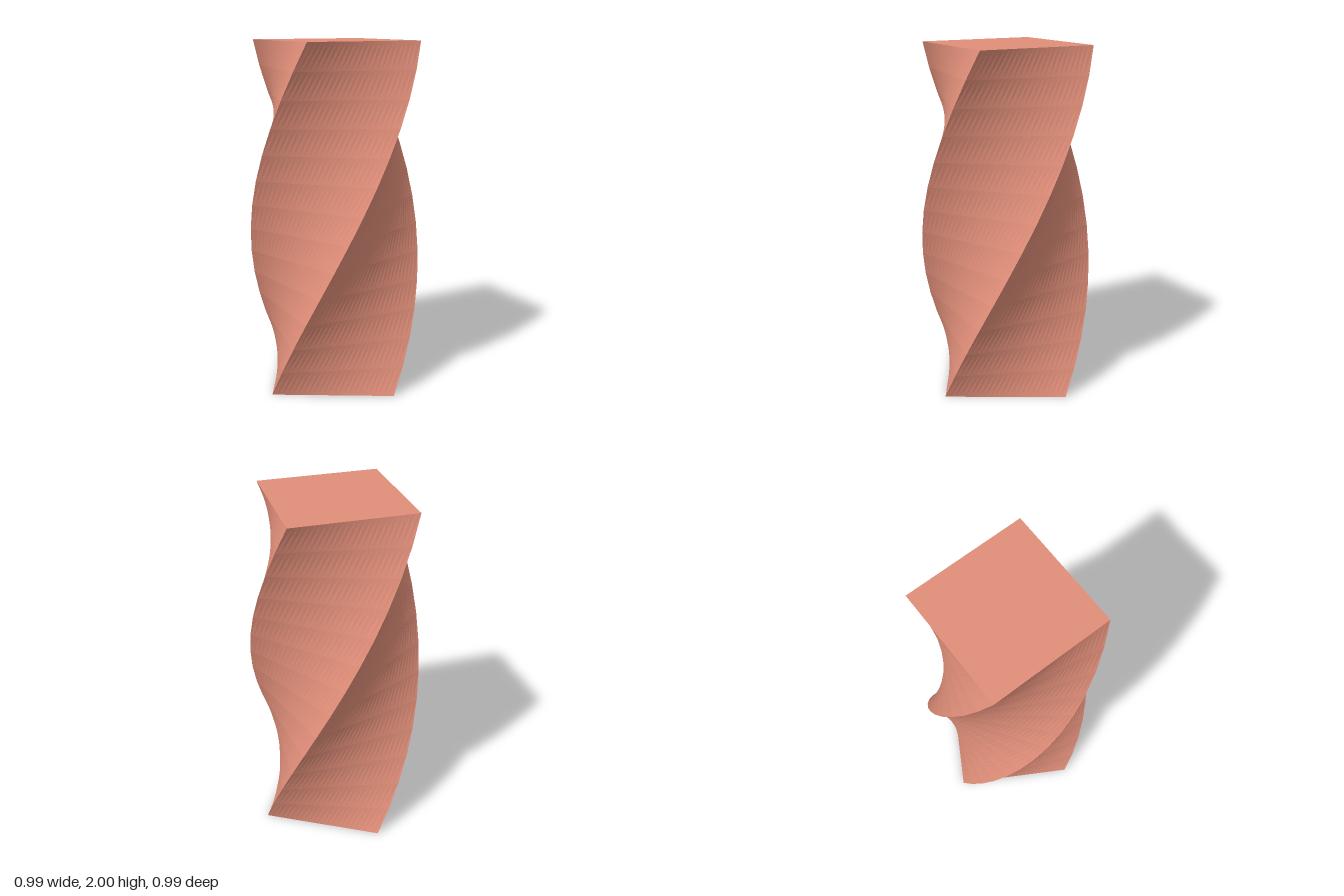
import * as THREE from 'three';

const SIDE = 0.7, HEIGHT = 2, BANDS = 13, STRIPS = 24;
const TWIST = THREE.MathUtils.degToRad(120);

// Square column whose cross-section turns steadily with height
function twistedColumn() {
  const geometry = new THREE.BoxGeometry(SIDE, HEIGHT, SIDE, STRIPS, BANDS, STRIPS);
  const position = geometry.attributes.position;
  const point = new THREE.Vector3();
  const up = new THREE.Vector3(0, 1, 0);
  for (let i = 0; i < position.count; i++) {
    point.fromBufferAttribute(position, i);
    point.applyAxisAngle(up, (point.y / HEIGHT) * TWIST);
    position.setXYZ(i, point.x, point.y + HEIGHT / 2, point.z);
  }
  geometry.computeVertexNormals();
  return geometry;
}

export function createModel() {
  const salmon = new THREE.MeshStandardMaterial({ color: 0xe08e79, flatShading: true });
  salmon.name = 'salmon';

  const column = new THREE.Mesh(twistedColumn(), salmon);
  column.name = 'twistedColumn';

  const model = new THREE.Group();
  model.name = 'twistedTower';
  model.add(column);
  return model;
}
